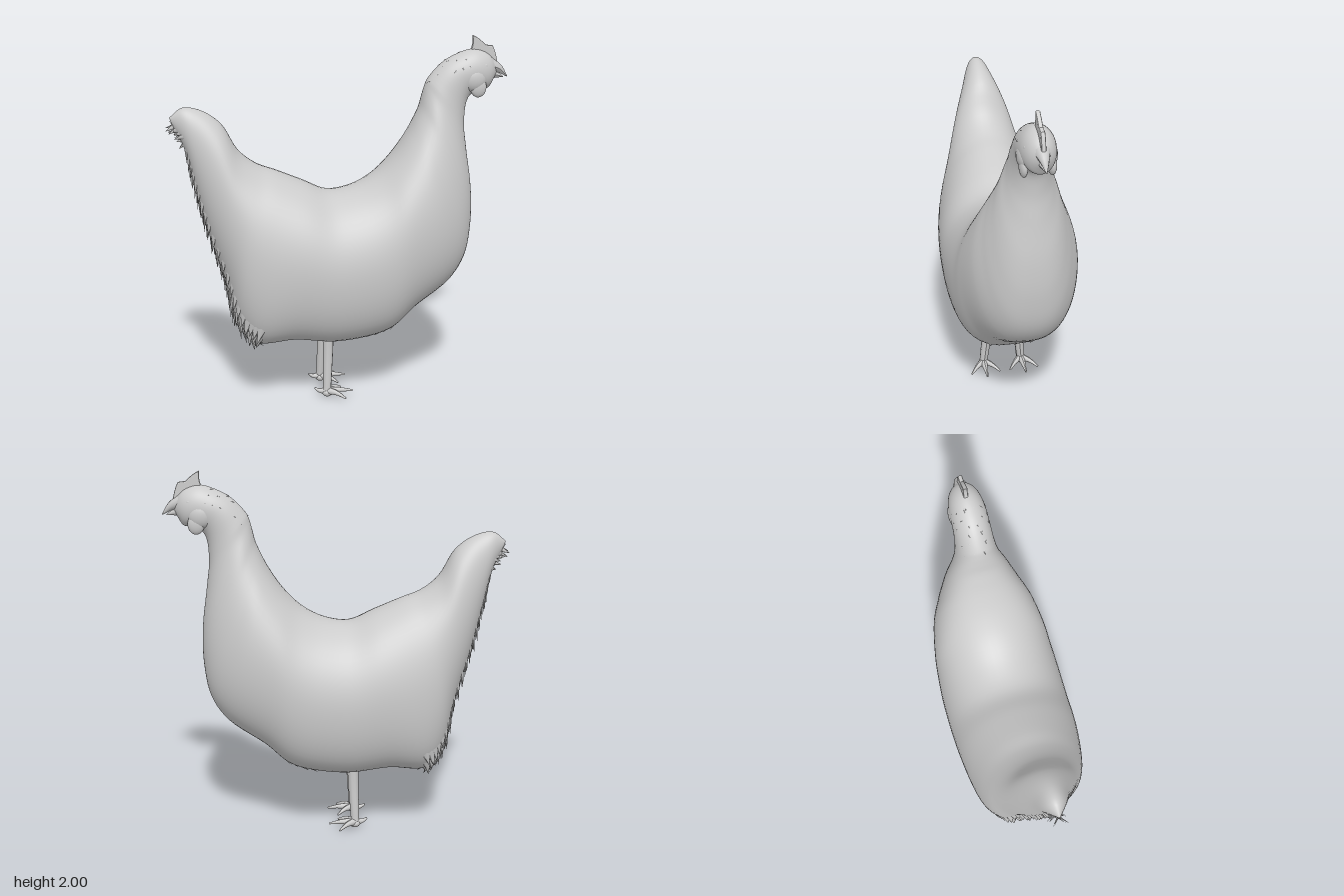
import * as THREE from 'three';
import { ParametricGeometry } from 'three/addons/geometries/ParametricGeometry.js';
import { mergeVertices, mergeGeometries } from 'three/addons/utils/BufferGeometryUtils.js';

const material = new THREE.MeshStandardMaterial({ color: 0xcccccc, side: THREE.DoubleSide });
const V = (x, y, z = 0) => new THREE.Vector3(x, y, z);

// Sections from tail tip to face: upper x, y, lower x, y, half width, lower bluntness
const sections = [
  [-0.91, 1.61, -0.90, 1.58, 0.005, 1],
  [-0.84, 1.66, -0.835, 1.44, 0.06, 1],
  [-0.75, 1.645, -0.79, 1.25, 0.1, 1],
  [-0.64, 1.57, -0.73, 1.0, 0.16, 1],
  [-0.55, 1.42, -0.64, 0.7, 0.225, 0.9],
  [-0.45, 1.34, -0.575, 0.44, 0.28, 0.7],
  [-0.35, 1.3, -0.48, 0.345, 0.31, 0.6],
  [-0.2, 1.235, -0.28, 0.355, 0.335, 0.6],
  [-0.06, 1.175, -0.05, 0.33, 0.343, 0.6],
  [0.08, 1.195, 0.17, 0.355, 0.343, 0.6],
  [0.2, 1.26, 0.28, 0.39, 0.335, 0.65],
  [0.3, 1.36, 0.4, 0.49, 0.32, 0.7],
  [0.38, 1.48, 0.61, 0.63, 0.28, 0.8],
  [0.42, 1.56, 0.7, 0.76, 0.235, 0.8],
  [0.445, 1.62, 0.737, 0.95, 0.195, 0.8],
  [0.46, 1.68, 0.738, 1.15, 0.16, 0.85],
  [0.475, 1.735, 0.71, 1.38, 0.122, 1],
  [0.49, 1.77, 0.695, 1.53, 0.107, 1],
  [0.57, 1.855, 0.715, 1.66, 0.097, 1],
  [0.65, 1.9, 0.77, 1.7, 0.095, 1],
  [0.74, 1.925, 0.825, 1.71, 0.085, 1],
  [0.82, 1.9, 0.85, 1.745, 0.06, 1],
  [0.88, 1.83, 0.88, 1.8, 0.005, 1],
];
const last = sections.length - 1;
const upper = new THREE.CatmullRomCurve3(sections.map(s => V(s[0], s[1], s[4])));
const lower = new THREE.CatmullRomCurve3(sections.map(s => V(s[2], s[3], s[5])));

// Point on the body skin; angle 0 is the upper line, PI the lower line
function skin(angle, t) {
  const a = upper.getPoint(t), b = lower.getPoint(t);
  const c = Math.cos(angle), s = Math.sin(angle), k = (1 + c) / 2;
  const power = c < 0 ? b.z : 1;
  const z = Math.sign(s) * a.z * Math.pow(Math.abs(s), power);
  return V(b.x + (a.x - b.x) * k, b.y + (a.y - b.y) * k, z);
}

function skinNormal(angle, t) {
  const e = 0.01;
  const du = skin(angle + e, t).sub(skin(angle - e, t));
  const dv = skin(angle, Math.min(1, t + e / 2)).sub(skin(angle, Math.max(0, t - e / 2)));
  return du.cross(dv).normalize();
}

function bodyGeometry() {
  const g = new ParametricGeometry((u, v, p) => p.copy(skin(u * Math.PI * 2, v)), 56, 110);
  g.deleteAttribute('uv');
  g.deleteAttribute('normal');
  const merged = mergeVertices(g, 1e-4);
  merged.computeVertexNormals();
  return merged;
}

// A flat pointed feather lying on the skin, lifted by a given amount
function feather(angle, t, flow, length, width, lift) {
  const n = skinNormal(angle, t);
  const dir = flow.clone().addScaledVector(n, -flow.dot(n)).normalize();
  dir.addScaledVector(n, lift).normalize();
  const side = new THREE.Vector3().crossVectors(dir, n).normalize();
  const out = new THREE.Vector3().crossVectors(side, dir);
  const g = new THREE.ConeGeometry(width, length, 8, 3);
  g.translate(0, length * 0.3, 0).scale(1, 1, 0.35);
  const m = new THREE.Matrix4().makeBasis(side, dir, out);
  return g.applyMatrix4(m.setPosition(skin(angle, t).addScaledVector(n, -0.008)));
}

// Staggered rows of feathers between two sections, centred on an angle
function plumage({ from, to, rows, centre, spread, count, flow, length, width, lift }) {
  const parts = [];
  for (let r = 0; r < rows; r++) {
    const f = rows > 1 ? r / (rows - 1) : 0;
    const t = (from + (to - from) * f) / last;
    const n = Math.round(count[0] + (count[1] - count[0]) * f) + (r % 2);
    const half = spread[0] + (spread[1] - spread[0]) * f;
    for (let i = 0; i < n; i++) {
      const a = centre + (n > 1 ? (i / (n - 1) * 2 - 1) * half : 0.02);
      const vary = 1 + 0.18 * Math.sin(r * 2.3 + i * 4.1);
      parts.push(feather(a, t, flow, length * vary, width, lift));
    }
  }
  return mergeGeometries(parts);
}

// Tube that narrows from r0 to r1 along a path
function taperedTube(points, r0, r1) {
  const path = new THREE.CatmullRomCurve3(points), steps = 10, sides = 10;
  const g = new THREE.TubeGeometry(path, steps, 1, sides);
  const p = g.attributes.position;
  for (let i = 0; i < p.count; i++) {
    const f = Math.floor(i / (sides + 1)) / steps;
    const c = path.getPointAt(f), q = new THREE.Vector3().fromBufferAttribute(p, i);
    q.sub(c).multiplyScalar(r0 + (r1 - r0) * f).add(c);
    p.setXYZ(i, q.x, q.y, q.z);
  }
  g.computeVertexNormals();
  return g;
}

export function createModel() {
  const model = new THREE.Group();
  const add = (name, geometry, parent = model) => {
    const mesh = new THREE.Mesh(geometry, material);
    mesh.name = name;
    parent.add(mesh);
    return mesh;
  };
  const ball = (name, x, y, z, sx, sy, sz) => {
    const mesh = add(name, new THREE.SphereGeometry(1, 20, 14));
    mesh.position.set(x, y, z);
    mesh.scale.set(sx, sy, sz);
    return mesh;
  };

  add('body', bodyGeometry());

  // Plumage
  add('rumpFeathers', plumage({ from: 1, to: 5.9, rows: 21, centre: Math.PI, spread: [0.3, 0.75],
    count: [2, 8], flow: V(-0.3, -1), length: 0.11, width: 0.032, lift: 0.3 }));
  add('tailTipFeathers', plumage({ from: 0.25, to: 1, rows: 4, centre: Math.PI, spread: [1, 1.3],
    count: [3, 4], flow: V(-1, -0.35), length: 0.09, width: 0.022, lift: 0.2 }));
  add('napeFeathers', plumage({ from: 17.3, to: 19.6, rows: 6, centre: 0, spread: [0.9, 1.1],
    count: [4, 5], flow: V(-0.8, -0.7), length: 0.06, width: 0.02, lift: 0.16 }));
  add('breastFeathers', plumage({ from: 13.9, to: 15.2, rows: 5, centre: Math.PI, spread: [0.15, 0.6],
    count: [1, 4], flow: V(0, -1), length: 0.06, width: 0.022, lift: 0.05 }));
  add('saddleFeathers', plumage({ from: 8.3, to: 9.3, rows: 3, centre: 0, spread: [0.2, 0.3],
    count: [2, 2], flow: V(-1, 0), length: 0.06, width: 0.025, lift: 0.08 }));
  add('bellyFluff', plumage({ from: 9, to: 10.2, rows: 4, centre: Math.PI, spread: [0.3, 0.3],
    count: [3, 4], flow: V(-0.3, -1), length: 0.07, width: 0.025, lift: 0.2 }));

  // Comb, thin with one tall point
  const comb = new THREE.Shape();
  comb.moveTo(0.71, 1.89);
  comb.quadraticCurveTo(0.745, 1.94, 0.735, 2.0);
  comb.quadraticCurveTo(0.77, 1.985, 0.81, 1.945);
  comb.lineTo(0.85, 1.94);
  comb.quadraticCurveTo(0.87, 1.9, 0.88, 1.84);
  comb.lineTo(0.78, 1.86);
  const combGeometry = new THREE.ExtrudeGeometry(comb, { depth: 0.008, bevelThickness: 0.008,
    bevelSize: 0.006, bevelOffset: -0.006, bevelSegments: 2, curveSegments: 8 });
  add('comb', combGeometry.translate(0, 0, -0.004));

  // Beak, hooked and flattened sideways
  add('upperBeak', taperedTube([V(0.83, 1.835), V(0.885, 1.815), V(0.937, 1.768)], 0.045, 0.002));
  add('lowerBeak', taperedTube([V(0.82, 1.785), V(0.87, 1.78), V(0.915, 1.766)], 0.035, 0.003));

  for (const s of [1, -1]) {
    ball('cheek', 0.73, 1.77, s * 0.06, 0.07, 0.07, 0.04);
    ball('wattle', 0.755, 1.725, s * 0.07, 0.045, 0.055, 0.022);
    ball('eye', 0.79, 1.84, s * 0.068, 0.015, 0.015, 0.01);

    // Leg with three front toes and one hind toe
    const leg = new THREE.Group();
    leg.name = s > 0 ? 'leftLeg' : 'rightLeg';
    model.add(leg);
    const ankle = V(-0.092, 0.035, s * 0.112);
    add('shank', taperedTube([V(-0.078, 0.42, s * 0.085), V(-0.082, 0.25, s * 0.092), ankle], 0.033, 0.023), leg);
    const toes = [[0.055, 0.025, 0.115], [0.0, 0.015, 0.198], [0.0, 0.015, 0.03], [-0.16, 0.05, 0.1]];
    for (const [x, y, z] of toes) {
      const tip = V(x, y, s * z);
      const knuckle = ankle.clone().lerp(tip, 0.55).setY(0.034);
      add('toe', taperedTube([ankle, knuckle, tip], 0.022, 0.005), leg);
    }
    const pad = add('footPad', new THREE.SphereGeometry(0.03, 14, 10), leg);
    pad.position.set(-0.09, 0.025, s * 0.112);
    pad.scale.y = 0.8;
  }
  return model;
}
